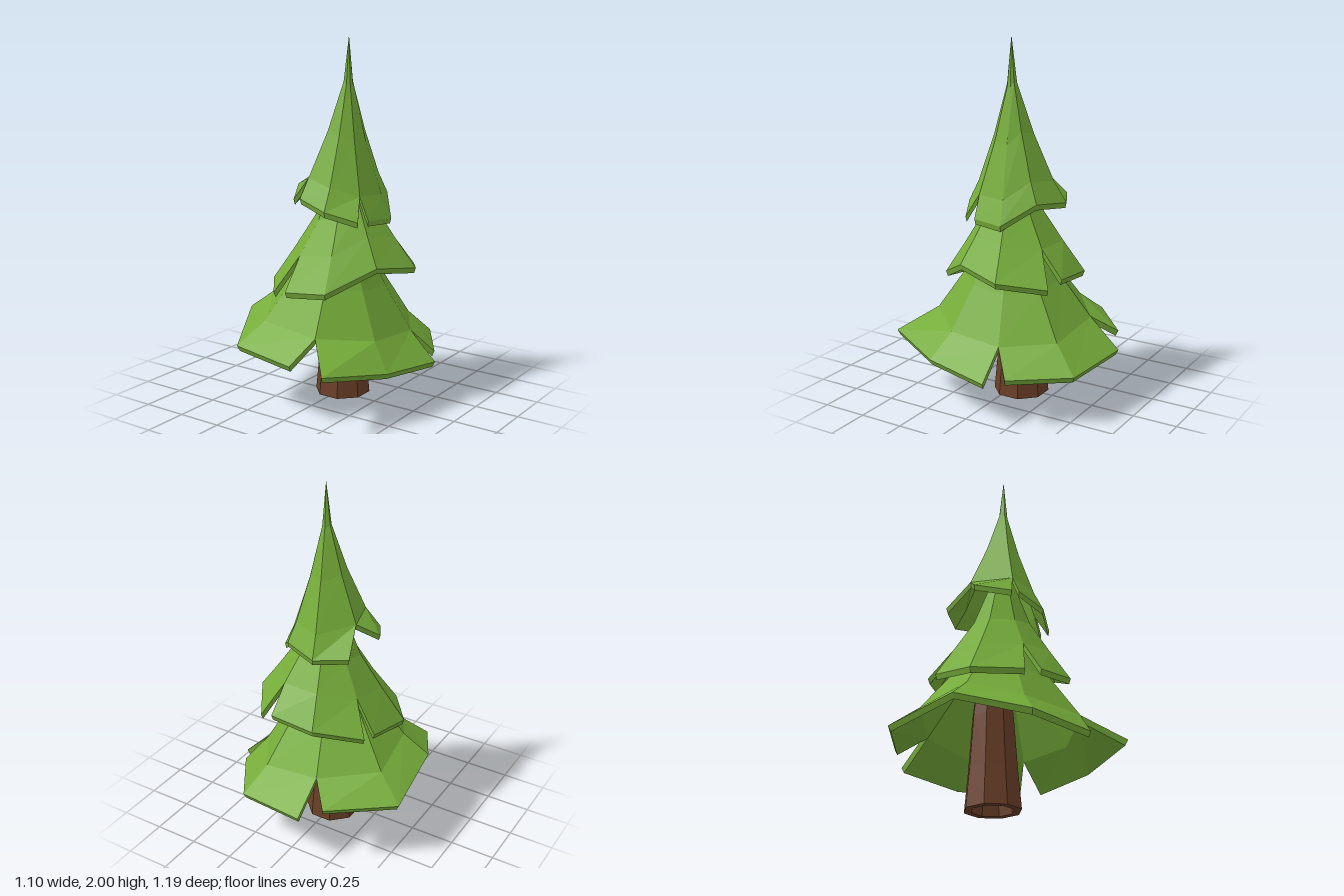
import * as THREE from 'three';

const leafMat = new THREE.MeshStandardMaterial({ color: 0x76ad3a, flatShading: true });
const barkMat = new THREE.MeshStandardMaterial({ color: 0x6b4028, flatShading: true });

// Each tier: top point, rows [spread, rise] from rim to top, and panels of rim corners [x, y, z]
const TIERS = [
  {
    name: 'lowerBranches', top: [0.03, 1.05, 0],
    rows: [[1, 0], [0.74, 0.18], [0.47, 0.49], [0.1, 1]],
    panels: [
      [[-0.23, 0.37, -0.54], [-0.55, 0.36, -0.28], [-0.52, 0.45, 0.12], [-0.34, 0.34, 0.47], [0.06, 0.32, 0.53]],
      [[0.31, 0.33, 0.59], [0.48, 0.28, 0.24], [0.55, 0.25, -0.14]],
      [[0.49, 0.27, -0.24], [0.29, 0.28, -0.54], [-0.11, 0.31, -0.6]],
    ],
  },
  {
    name: 'middleBranches', top: [0.05, 1.4, -0.02],
    rows: [[1, 0], [0.7, 0.25], [0.42, 0.5], [0.08, 1]],
    panels: [
      [[-0.1, 0.65, 0.35], [0.16, 0.68, 0.35], [0.34, 0.8, 0.13], [0.42, 0.76, -0.14], [0.27, 0.72, -0.37]],
      [[0.18, 0.76, -0.4], [-0.08, 0.74, -0.4], [-0.31, 0.68, -0.24]],
      [[-0.33, 0.68, -0.17], [-0.37, 0.64, 0.1], [-0.2, 0.63, 0.32]],
    ],
  },
  {
    name: 'upperBranches', top: [0.06, 2, -0.02],
    rows: [[1, 0], [0.77, 0.13], [0.4, 0.42], [0.1, 0.72], [0, 1]],
    panels: [
      [[-0.1, 1.14, 0.21], [0.08, 1.09, 0.24], [0.24, 1.04, 0.16]],
      [[0.26, 1.04, 0.09], [0.29, 1.03, -0.09], [0.17, 1.14, -0.24], [-0.03, 1.12, -0.31], [-0.2, 1.13, -0.22]],
      [[-0.25, 1.18, 0.02], [-0.15, 1.13, 0.2]],
    ],
  },
];

// A hollow skirt of folded panels, slit at the rim where panels meet
function branchTier({ name, top, rows, panels }) {
  const pos = [];
  const tri = (a, b, c) => pos.push(...a, ...b, ...c);
  const quad = (a, b, c, d) => { tri(a, b, c); tri(a, c, d); };
  const mid = (a, b) => a.map((v, i) => (v + b[i]) / 2);
  const inset = ([x, y, z]) => [top[0] + (x - top[0]) * 0.975, y - 0.03, top[2] + (z - top[2]) * 0.975];

  panels.forEach((rim, p) => {
    const prev = panels[(p + panels.length - 1) % panels.length];
    const next = panels[(p + 1) % panels.length];
    // Above the slits, neighbouring panels share one seam
    const base = rim.slice();
    base[0] = mid(rim[0], prev[prev.length - 1]);
    base[rim.length - 1] = mid(rim[rim.length - 1], next[0]);
    const outer = rows.map(([f, h], r) => (r ? base : rim).map(([x, y, z]) => [
      top[0] + (x - top[0]) * f, y + (top[1] - y) * h, top[2] + (z - top[2]) * f]));
    const inner = outer.map((row) => row.map(inset));
    const last = rim.length - 1;

    for (let i = 0; i < last; i++) {
      for (let r = 0; r < rows.length - 1; r++) {
        quad(outer[r][i], outer[r][i + 1], outer[r + 1][i + 1], outer[r + 1][i]);
        quad(inner[r][i + 1], inner[r][i], inner[r + 1][i], inner[r + 1][i + 1]);
      }
      // Rim edge
      quad(inner[0][i], inner[0][i + 1], outer[0][i + 1], outer[0][i]);
    }
    // Slit edges
    quad(inner[0][0], outer[0][0], outer[1][0], inner[1][0]);
    quad(outer[0][last], inner[0][last], inner[1][last], outer[1][last]);
  });

  const geo = new THREE.BufferGeometry();
  geo.setAttribute('position', new THREE.Float32BufferAttribute(pos, 3));
  geo.computeVertexNormals();
  const mesh = new THREE.Mesh(geo, leafMat);
  mesh.name = name;
  return mesh;
}

// Tapered eight-sided trunk with a hollow foot
function trunk() {
  const profile = [[0, 0.2], [0.1, 0.2], [0.115, 0], [0.155, 0], [0.135, 0.22], [0.115, 0.5], [0.06, 1.0], [0, 1.0]]
    .map(([r, y]) => new THREE.Vector2(r, y));
  const mesh = new THREE.Mesh(new THREE.LatheGeometry(profile, 8, Math.PI / 8), barkMat);
  mesh.position.set(0.002, 0, -0.05);
  mesh.name = 'trunk';
  return mesh;
}

export function createModel() {
  const tree = new THREE.Group();
  tree.name = 'tree';
  tree.add(trunk(), ...TIERS.map(branchTier));
  return tree;
}
